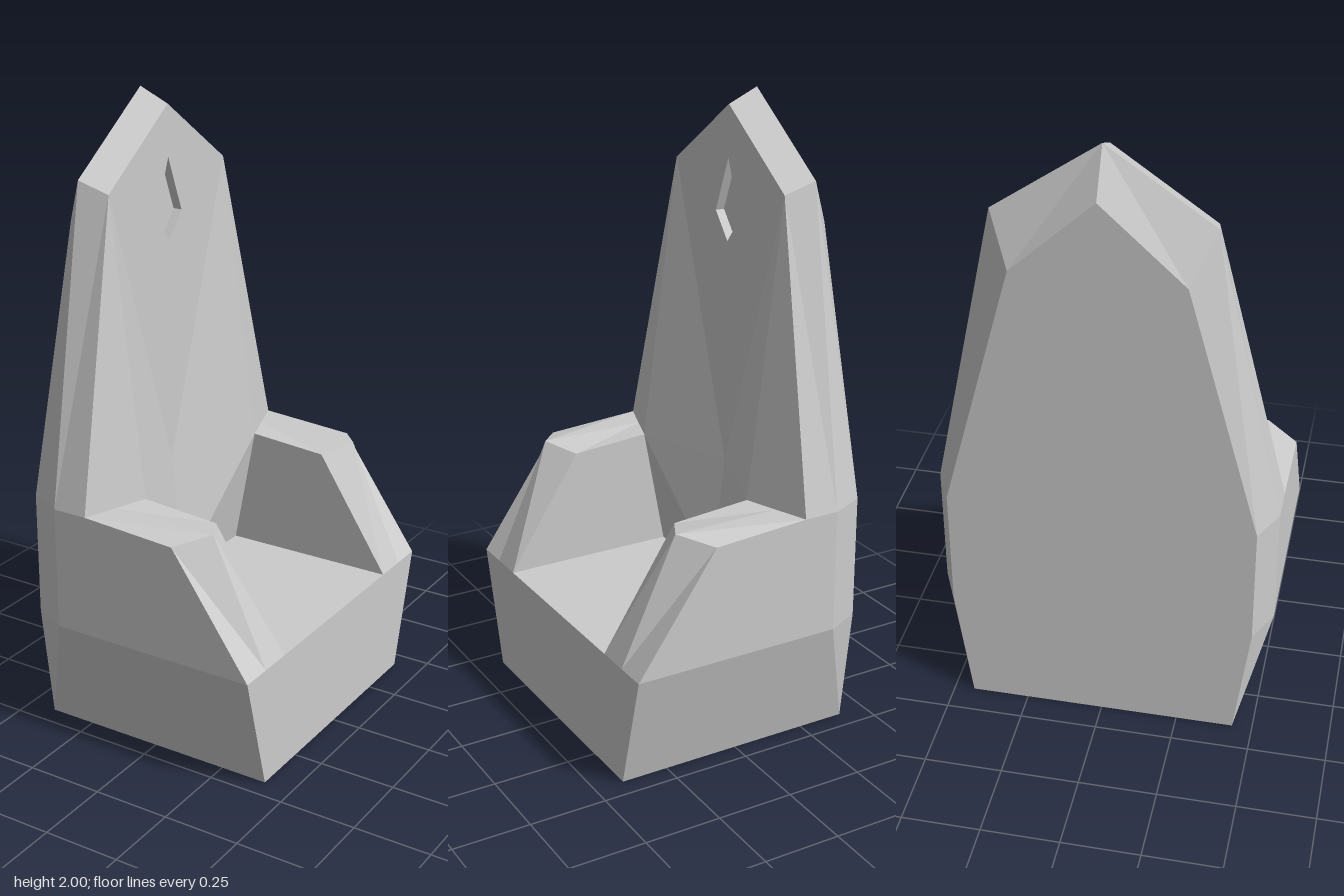
import * as THREE from 'three';

const material = new THREE.MeshStandardMaterial({ color: 0xcccccc, flatShading: true });

// Corners of the +z half; z = 0 is the symmetry plane.
const P = {
  // floor outline
  backFloor: [-0.405, 0, 0.435], chamferFloor: [-0.29, 0, 0.435], frontFloor: [0.405, 0, 0.435],
  backFloorMid: [-0.405, 0, 0], frontFloorMid: [0.405, 0, 0],
  // seat height
  backLow: [-0.405, 0.39, 0.485], chamferLow: [-0.29, 0.39, 0.54], frontOuter: [0.405, 0.39, 0.54],
  frontRidge: [0.405, 0.39, 0.435], frontInner: [0.405, 0.39, 0.325], frontMid: [0.405, 0.39, 0],
  seatBack: [-0.175, 0.39, 0.325], seatBackMid: [-0.175, 0.39, 0],
  // arm height
  backHigh: [-0.405, 0.79, 0.485], chamferHigh: [-0.29, 0.79, 0.54], armBackOuter: [-0.175, 0.79, 0.54],
  armBackRidge: [-0.1375, 0.79, 0.4325], armBackInner: [-0.1, 0.79, 0.325], lumbar: [-0.22, 0.79, 0],
  armOuter: [0.14, 0.77, 0.54], armRidge: [0.22, 0.79, 0.435], armInner: [0.16, 0.77, 0.325],
  // shoulders and peak
  shoulderBack: [-0.405, 1.62, 0.26], shoulder: [-0.32, 1.77, 0.33], shoulderFront: [-0.22, 1.735, 0.315],
  peakBack: [-0.405, 1.86, 0], peak: [-0.32, 2, 0], peakFront: [-0.22, 1.955, 0],
  // diamond recess
  gemTop: [-0.22, 1.79, 0], gemSide: [-0.22, 1.61, 0.07], gemBottom: [-0.22, 1.525, 0],
  gemTopIn: [-0.25, 1.79, 0], gemSideIn: [-0.25, 1.61, 0.07], gemBottomIn: [-0.25, 1.525, 0],
};

// Makes a faceted mesh from polygons on the +z half and their mirror images.
function mirroredMesh(name, polygons) {
  const out = [];
  for (const polygon of polygons) {
    const pts = polygon.split(' ').map((key) => P[key]);
    for (let i = 1; i < pts.length - 1; i++) {
      const [a, b, c] = [pts[0], pts[i], pts[i + 1]];
      out.push(...a, ...b, ...c);
      for (const [x, y, z] of [a, c, b]) out.push(x, y, -z);
    }
  }
  const geometry = new THREE.BufferGeometry();
  geometry.setAttribute('position', new THREE.Float32BufferAttribute(out, 3));
  geometry.computeVertexNormals();
  const mesh = new THREE.Mesh(geometry, material);
  mesh.name = name;
  return mesh;
}

export function createModel() {
  const chair = new THREE.Group();
  chair.name = 'throne';
  chair.add(
    // tapered plinth
    mirroredMesh('base', [
      'backFloorMid frontFloorMid frontFloor backFloor',
      'chamferFloor frontFloor frontOuter chamferLow',
      'backFloor chamferFloor chamferLow backLow',
      'frontFloor frontFloorMid frontMid frontOuter',
    ]),
    mirroredMesh('seat', [
      'seatBack frontInner frontMid seatBackMid',
      'seatBack seatBackMid armBackInner',
      'seatBackMid lumbar armBackInner',
    ]),
    // ridged arms with sloping fronts
    mirroredMesh('armrests', [
      'chamferLow frontOuter armOuter armBackOuter chamferHigh',
      'armBackOuter armOuter armRidge armBackRidge',
      'armBackRidge armRidge armInner armBackInner',
      'armOuter frontOuter frontRidge armRidge',
      'armRidge frontRidge frontInner armInner',
      'frontInner seatBack armBackInner armInner',
    ]),
    // tall back with pointed top and bevelled rear
    mirroredMesh('backrest', [
      'backFloorMid backFloor backLow backHigh shoulderBack peakBack',
      'backLow chamferLow chamferHigh backHigh',
      'backHigh chamferHigh shoulder shoulderBack',
      'chamferHigh armBackOuter shoulderFront shoulder',
      'armBackOuter armBackInner shoulderFront',
      'shoulder shoulderFront peakFront peak',
      'shoulderBack shoulder peak peakBack',
      'armBackInner lumbar shoulderFront',
      'shoulderFront lumbar gemBottom gemSide',
      'shoulderFront gemSide gemTop peakFront',
    ]),
    mirroredMesh('diamondRecess', [
      'gemTop gemSide gemSideIn gemTopIn',
      'gemSide gemBottom gemBottomIn gemSideIn',
      'gemSideIn gemBottomIn gemTopIn',
    ]),
  );
  return chair;
}
